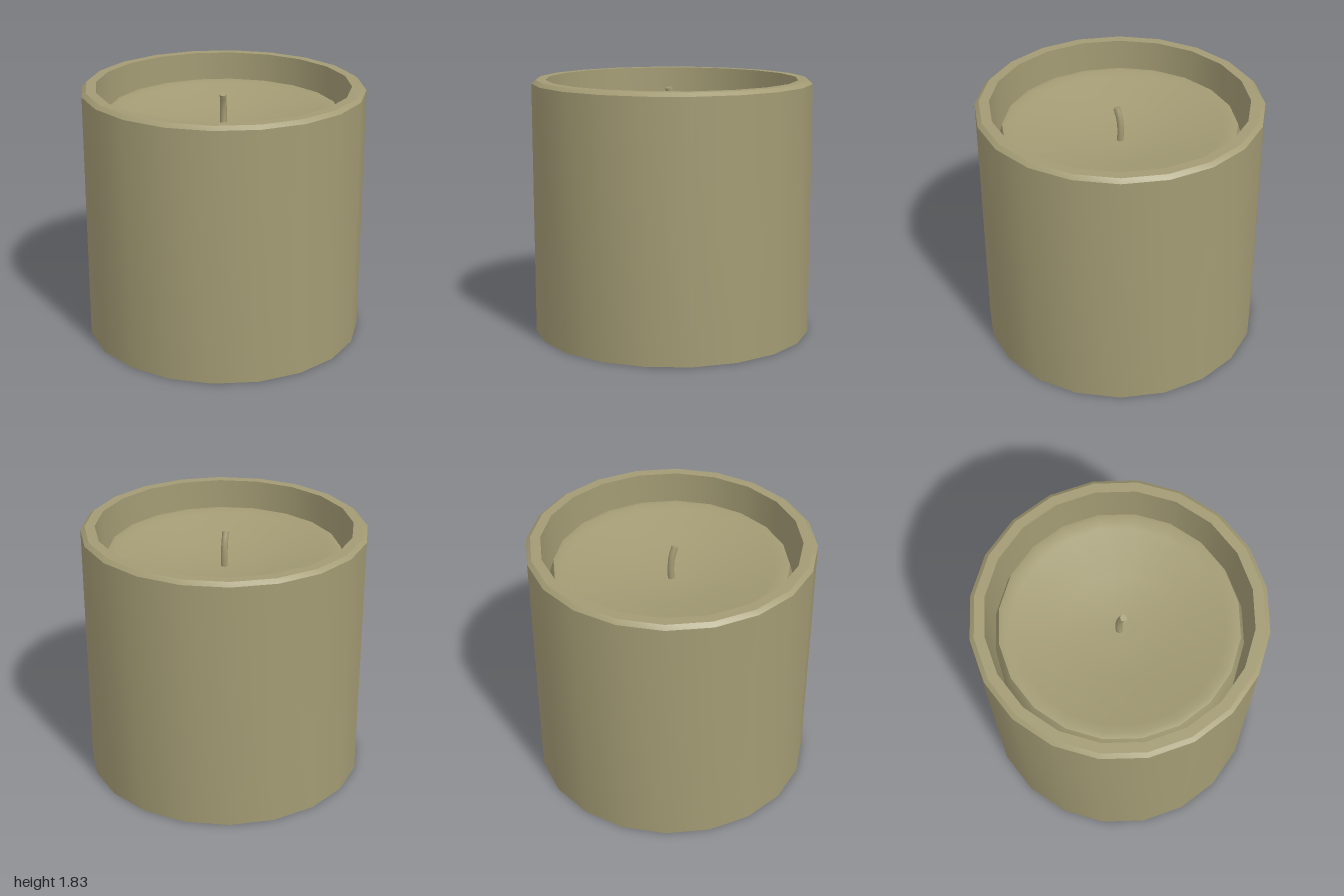
import * as THREE from 'three';
import { toCreasedNormals } from 'three/addons/utils/BufferGeometryUtils.js';

const SIDES = 20;
const material = new THREE.MeshStandardMaterial({ color: 0xa39b74 });

// Revolve a [radius, height] profile; facets stay smooth, profile corners stay sharp
function revolve(name, profile) {
  const points = profile.map(([r, y]) => new THREE.Vector2(r, y));
  const mesh = new THREE.Mesh(toCreasedNormals(new THREE.LatheGeometry(points, SIDES), 0.6), material);
  mesh.name = name;
  return mesh;
}

export function createModel() {
  const group = new THREE.Group();
  group.name = 'candle';

  // Jar: closed base, bevelled rim, slightly tapered inner wall and floor
  group.add(revolve('jar', [
    [0, 0], [1, 0], [1, 1.8], [0.97, 1.825], [0.9, 1.825], [0.885, 0.1], [0, 0.1],
  ]));

  // Wax: narrow gap to the jar, rounded lip, surface dished towards the wick
  group.add(revolve('wax', [
    [0.85, 0.1], [0.85, 1.54], [0.82, 1.64], [0.78, 1.645], [0.72, 1.63], [0.4, 1.57], [0, 1.51],
  ]));

  // Wick: a short cord bending forward, with a flat cut end
  const path = new THREE.CatmullRomCurve3([
    new THREE.Vector3(0, 1.48, 0),
    new THREE.Vector3(0, 1.6, -0.005),
    new THREE.Vector3(0, 1.69, 0.005),
    new THREE.Vector3(0, 1.76, 0.03),
  ]);
  const wick = new THREE.Group();
  wick.name = 'wick';
  const cord = new THREE.Mesh(new THREE.TubeGeometry(path, 8, 0.024, 10), material);
  cord.name = 'wickCord';
  const end = new THREE.Mesh(new THREE.CircleGeometry(0.024, 10), material);
  end.name = 'wickEnd';
  end.position.copy(path.getPoint(1));
  end.lookAt(path.getPoint(1).add(path.getTangent(1)));
  wick.add(cord, end);
  group.add(wick);

  return group;
}
